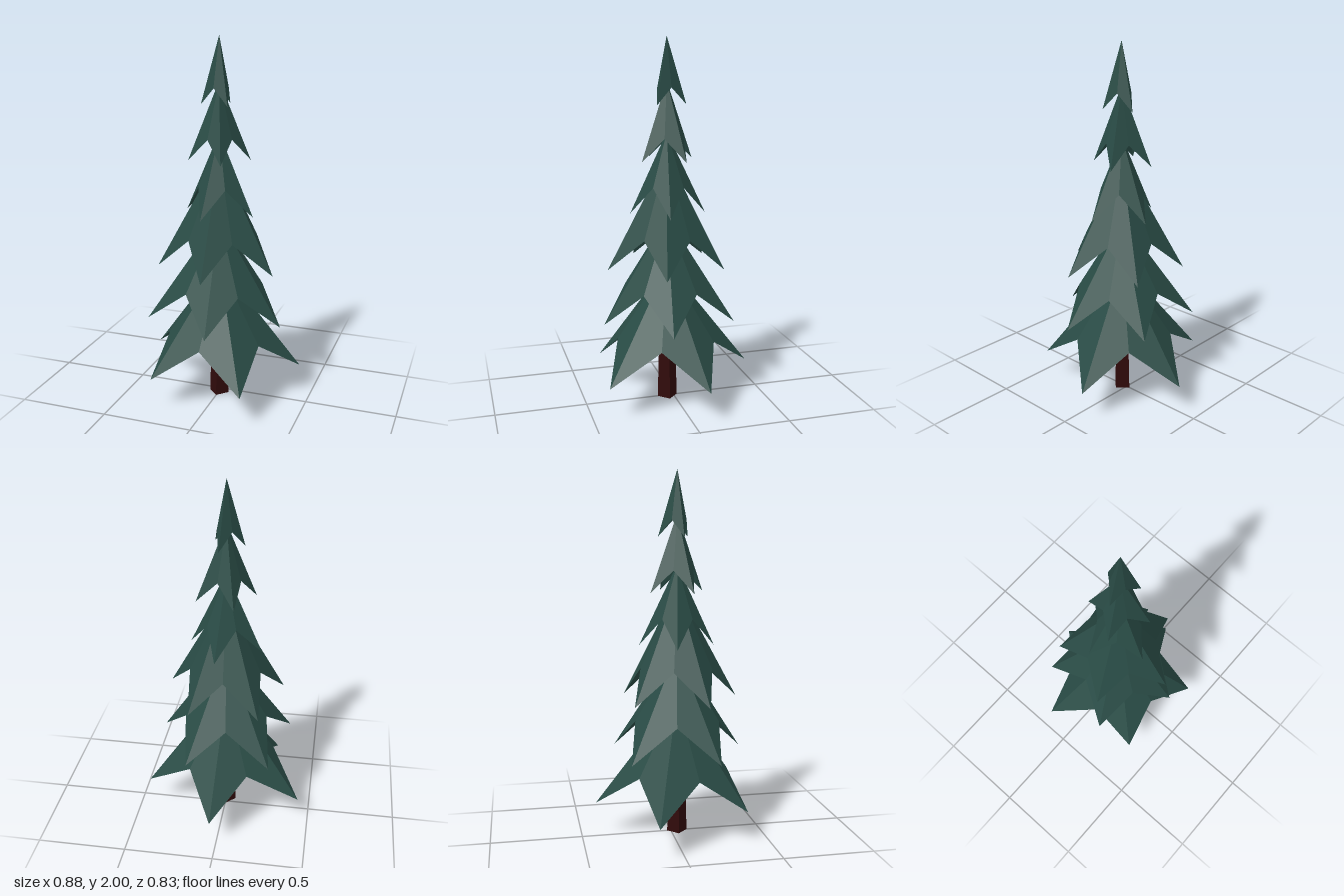
import * as THREE from 'three';

const AXIS_Z = 0.035;

// Open pleated cone: ridges run from the apex to the tips [x, z], valleys to the notches between them
function starCone({ tips, apexY, tipY, notchR, notchY }) {
  const ring = [];
  tips.forEach(([x, z], i) => {
    const [nx, nz] = tips[(i + 1) % tips.length];
    const a = Math.atan2(z - AXIS_Z, x);
    let b = Math.atan2(nz - AXIS_Z, nx);
    if (b < a) b += Math.PI * 2;
    const mid = (a + b) / 2;
    ring.push([x, tipY, z]);
    ring.push([Math.cos(mid) * notchR, notchY, AXIS_Z + Math.sin(mid) * notchR]);
  });
  const pos = [];
  ring.forEach((p, i) => {
    const next = ring[(i + 1) % ring.length];
    pos.push(0, apexY, AXIS_Z, ...next, ...p);
  });
  const g = new THREE.BufferGeometry();
  g.setAttribute('position', new THREE.Float32BufferAttribute(pos, 3));
  g.computeVertexNormals();
  return g;
}

export function createModel() {
  const needles = new THREE.MeshStandardMaterial({ color: 0x294b45, side: THREE.DoubleSide, flatShading: true });
  needles.name = 'needleGreen';
  const bark = new THREE.MeshStandardMaterial({ color: 0x300a0a, flatShading: true });
  bark.name = 'barkBrown';

  const tree = new THREE.Group();
  tree.name = 'pineTree';

  // Tapered four-sided trunk with its corners to the front, back and sides
  const trunk = new THREE.Mesh(new THREE.CylinderGeometry(0.037, 0.056, 0.7, 4), bark);
  trunk.name = 'trunk';
  trunk.position.set(0, 0.35, AXIS_Z);
  tree.add(trunk);

  // Branch tiers from bottom to top; tips turn from +x towards +z
  const tiers = [
    {
      tips: [[0.44, -0.08], [0.245, 0.415], [-0.28, 0.37], [-0.44, -0.14], [0.03, -0.42]],
      apexY: 0.77, tipY: 0.18, notchR: 0.28, notchY: 0.36,
    },
    {
      tips: [[0.37, 0.1], [0.045, 0.4], [-0.36, 0.2], [-0.275, -0.26], [0.18, -0.295]],
      apexY: 1.04, tipY: 0.47, notchR: 0.24, notchY: 0.65,
    },
    {
      tips: [[0.33, 0.125], [0.015, 0.372], [-0.315, 0.15], [-0.21, -0.232], [0.172, -0.238]],
      apexY: 1.38, tipY: 0.765, notchR: 0.205, notchY: 0.94,
    },
    {
      tips: [[0.202, 0.07], [-0.037, 0.232], [-0.2, -0.003], [0.035, -0.17]],
      apexY: 1.5, tipY: 1.06, notchR: 0.115, notchY: 1.21,
    },
    {
      tips: [[0.155, -0.03], [0.06, 0.188], [-0.155, 0.095], [-0.06, -0.122]],
      apexY: 1.77, tipY: 1.35, notchR: 0.09, notchY: 1.47,
    },
    {
      tips: [[0.07, 0.107], [-0.095, 0.055], [0.027, -0.065]],
      apexY: 2, tipY: 1.645, notchR: 0.05, notchY: 1.735,
    },
  ];
  tiers.forEach((t, i) => {
    const tier = new THREE.Mesh(starCone(t), needles);
    tier.name = `branchTier${i + 1}`;
    tree.add(tier);
  });
  return tree;
}
